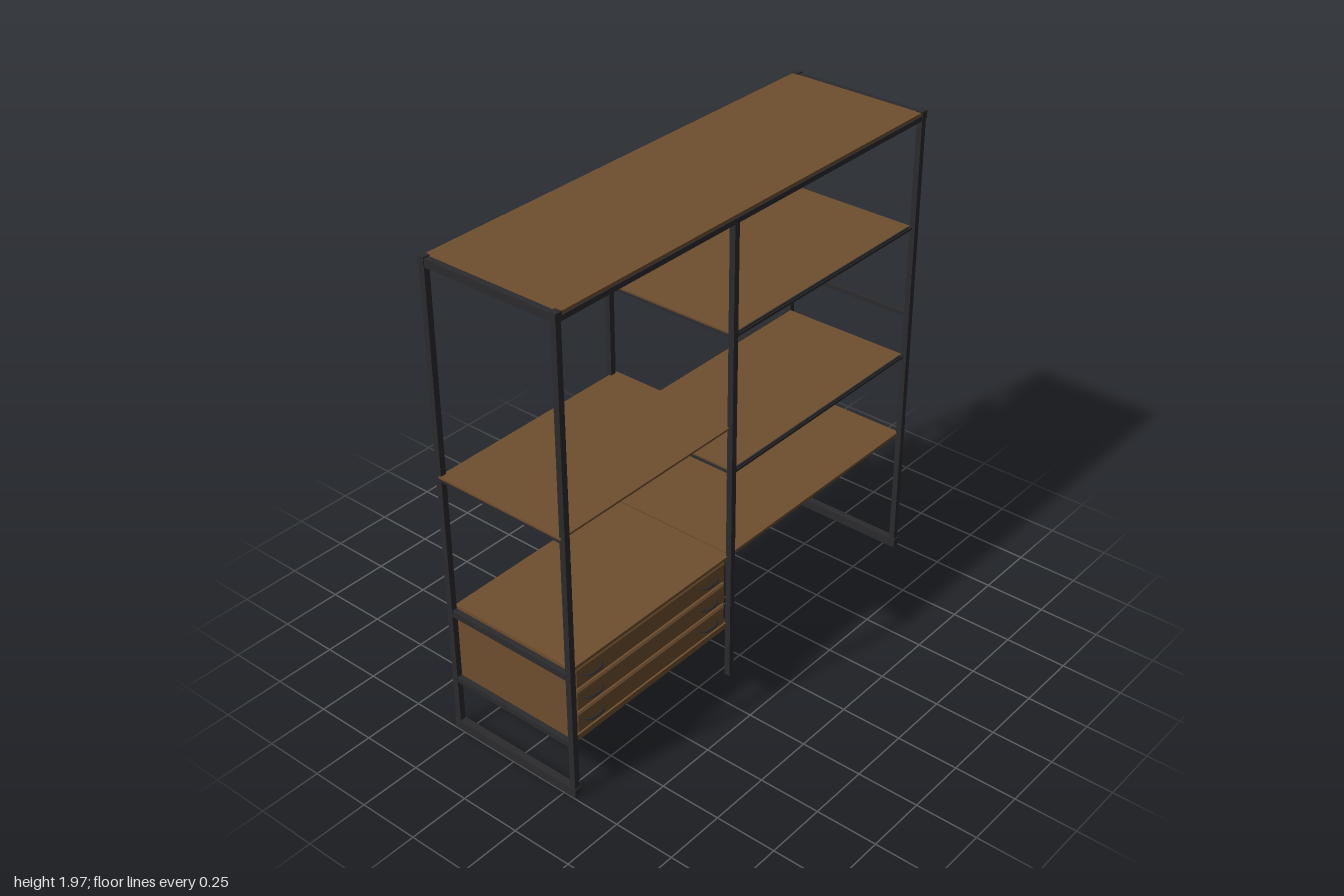
import * as THREE from 'three';

export function createModel() {
  const root = new THREE.Group();
  root.name = 'shelvingUnit';
  const wood = new THREE.MeshStandardMaterial({ color: 0x6f4e2e });
  wood.name = 'walnut wood';
  const metal = new THREE.MeshStandardMaterial({ color: 0x2b2b2e });
  metal.name = 'black metal';

  // Box given by its lower and upper limits on each axis
  const box = (name, mat, [x0, x1], [y0, y1], [z0, z1], parent = root) => {
    const m = new THREE.Mesh(new THREE.BoxGeometry(x1 - x0, y1 - y0, z1 - z0), mat);
    m.position.set((x0 + x1) / 2, (y0 + y1) / 2, (z0 + z1) / 2);
    m.name = name;
    parent.add(m);
    return m;
  };
  const around = (c, w) => [c - w / 2, c + w / 2];

  const MID = -0.113, END = 0.982, T = 0.024, Z = 0.287;
  const inner = [-Z + T / 2, Z - T / 2];

  // Posts and top cross rails
  for (const x of [-END, MID, END]) {
    const end = x !== MID;
    for (const z of [-Z, Z]) {
      box('post', metal, around(x, T), [0.0, end ? 1.962 : 1.935], around(z, T));
      if (end) box('postCap', metal, around(x, 0.03), [1.935, 1.966], around(z, 0.028));
    }
    box('topCrossRail', metal, around(x, T), [1.93, end ? 1.961 : 1.95], inner);
  }
  // Foot rails and middle braces of the end frames
  for (const x of [-END, END]) {
    box('footRail', metal, around(x, 0.03), [0, 0.038], [-0.303, 0.303]);
    box('endBrace', metal, around(x, 0.02), [1.1, 1.117], inner);
  }

  // Top board with long rails below
  box('topBoard', wood, [-END + T / 2, END - T / 2], [1.948, 1.961], [-0.298, 0.294]);
  for (const z of [-Z, Z])
    box('topLongRail', metal, [-END, END], [1.93, 1.95], around(z, T));

  // Slatted shelves in the wide bay
  for (const y of [1.482, 0.918]) {
    const shelf = new THREE.Group();
    shelf.name = 'slattedShelf';
    root.add(shelf);
    box('shelfBoard', wood, [MID + 0.01, 0.97], [y + 0.005, y + 0.013], [-0.276, 0.276], shelf);
    for (const s of [-1, 1]) {
      box('shelfRail', metal, [MID - 0.01, END], [y - 0.003, y + 0.008], around(s * 0.279, 0.012), shelf);
      box('shelfLip', metal, [-0.09, 0.955], [y + 0.006, y + 0.014], around(s * 0.278, 0.006), shelf);
    }
    for (let i = 0; i < 9; i++) {
      const x = THREE.MathUtils.lerp(MID + 0.01, 0.966, i / 8);
      box('slat', metal, around(x, 0.014), [y - 0.002, y + 0.006], [-0.275, 0.275], shelf);
    }
  }

  // Plain shelves
  box('lowShelf', wood, [MID + 0.005, END], [0.549, 0.561], [-0.28, 0.28]);
  box('narrowShelf', wood, [-0.998, -0.09], [1.117, 1.125], [-0.284, 0.284]);

  // Drawer cabinet
  const cabinet = new THREE.Group();
  cabinet.name = 'drawerCabinet';
  root.add(cabinet);
  const L = -0.97, R = -0.125;
  box('cabinetTop', wood, [L, R + 0.01], [0.548, 0.561], [-0.282, 0.283], cabinet);
  box('cabinetBody', wood, [L, R], [0.238, 0.548], [-0.275, 0.268], cabinet);
  box('cabinetBase', wood, [L, R], [0.226, 0.25], [0.25, 0.28], cabinet);
  box('baseRail', metal, [L, R], [0.224, 0.239], around(-0.06, 0.05), cabinet);
  for (const x of [-END, MID]) {
    box('upperSupportRail', metal, around(x, 0.022), [0.522, 0.548], inner, cabinet);
    box('lowerSupportRail', metal, around(x, 0.022), [0.222, 0.243], inner, cabinet);
  }

  // Bevelled drawer front, with a thin bow handle at each end
  const w = R - L - 0.044, h = 0.075;
  const panel = new THREE.Shape([[-1, -1], [1, -1], [1, 1], [-1, 1]]
    .map(([a, b]) => new THREE.Vector2(a * w / 2, b * h / 2)));
  const frontGeo = new THREE.ExtrudeGeometry(panel, {
    depth: 0.008, bevelSize: 0.008, bevelThickness: 0.006, bevelSegments: 1,
  });
  const handleGeo = new THREE.TubeGeometry(new THREE.CatmullRomCurve3([
    [-0.045, 0.278], [-0.038, 0.293], [-0.025, 0.301], [0.025, 0.301], [0.038, 0.293], [0.045, 0.278],
  ].map(([x, z]) => new THREE.Vector3(x, 0, z))), 20, 0.0045, 6);
  for (const y of [0.303, 0.402, 0.502]) {
    const front = new THREE.Mesh(frontGeo, wood);
    front.name = 'drawerFront';
    front.position.set((L + R) / 2, y, 0.27);
    cabinet.add(front);
    for (const x of [-0.868, -0.235]) {
      const handle = new THREE.Mesh(handleGeo, metal);
      handle.name = 'drawerHandle';
      handle.position.set(x, y, 0);
      cabinet.add(handle);
    }
  }
  return root;
}
